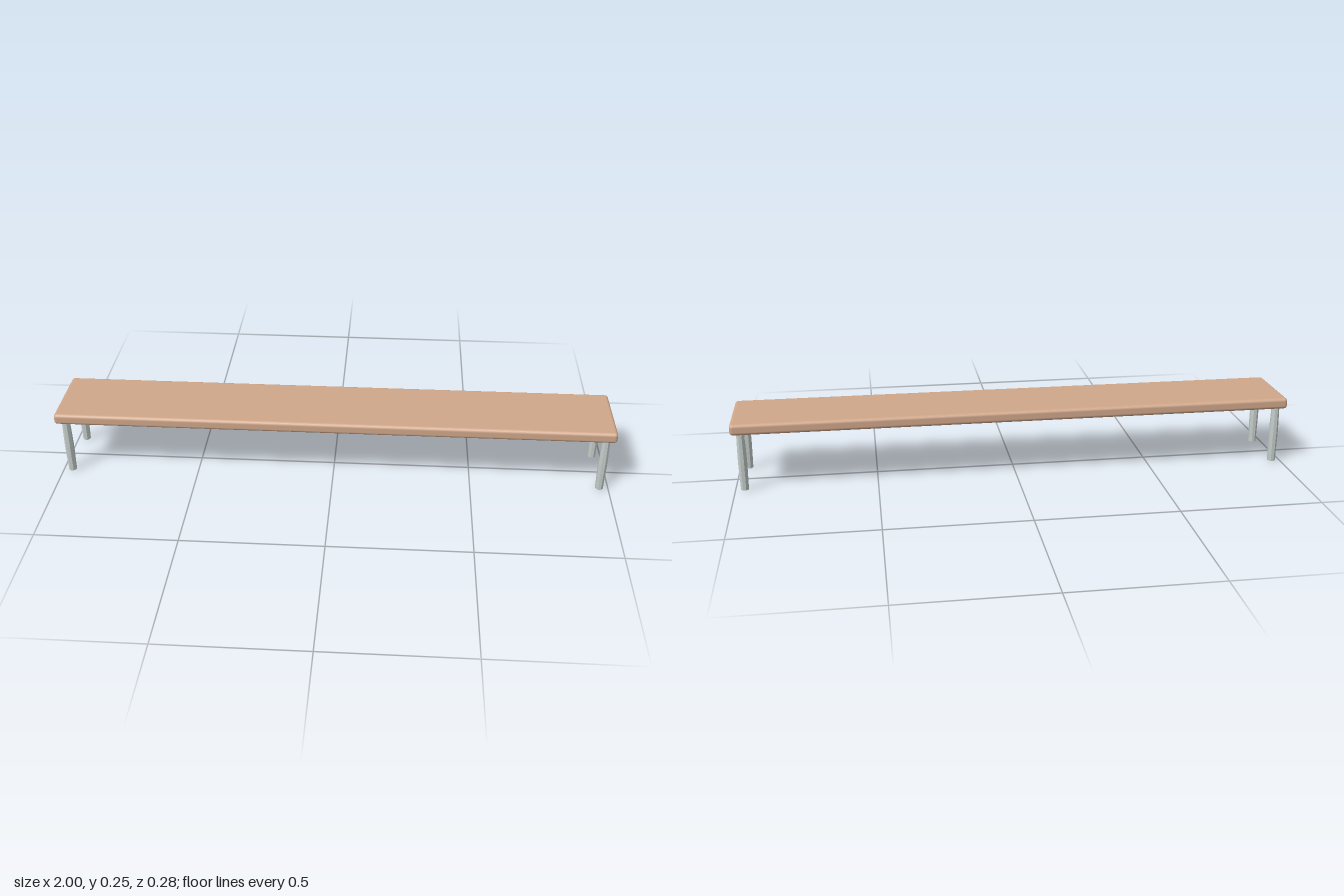
import * as THREE from 'three';
import { RoundedBoxGeometry } from 'three/addons/geometries/RoundedBoxGeometry.js';

export function createModel() {
  const model = new THREE.Group();
  model.name = 'bench';
  const wood = new THREE.MeshStandardMaterial({ color: 0xd0a78a });
  wood.name = 'warm wood';
  const metal = new THREE.MeshStandardMaterial({ color: 0xc4cdca });
  metal.name = 'pale grey metal';

  // Long plank with softly rounded edges
  const seat = new THREE.Mesh(new RoundedBoxGeometry(2, 0.04, 0.275, 3, 0.012), wood);
  seat.name = 'seat';
  seat.position.y = 0.235;
  model.add(seat);

  // Faceted leg: slight bulge in the middle, shallow cones at both ends
  const profile = [
    [0, 0.002], [0.0142, 0.005], [0.0157, 0.07], [0.0163, 0.11],
    [0.0157, 0.15], [0.0142, 0.211], [0, 0.216],
  ].map(([r, y]) => new THREE.Vector2(r, y - 0.002 * (1 - y / 0.216)));
  const smoothLeg = new THREE.LatheGeometry(profile, 8, Math.PI / 8);
  const legGeometry = smoothLeg.toNonIndexed();
  legGeometry.computeVertexNormals();

  // One leg near each corner
  for (const [side, x] of [['Left', 0.967], ['Right', -0.967]]) {
    for (const [end, z] of [['front', 0.104], ['back', -0.103]]) {
      const leg = new THREE.Mesh(legGeometry, metal);
      leg.name = `${end}${side}Leg`;
      leg.position.set(x, 0, z);
      model.add(leg);
    }
  }
  return model;
}
